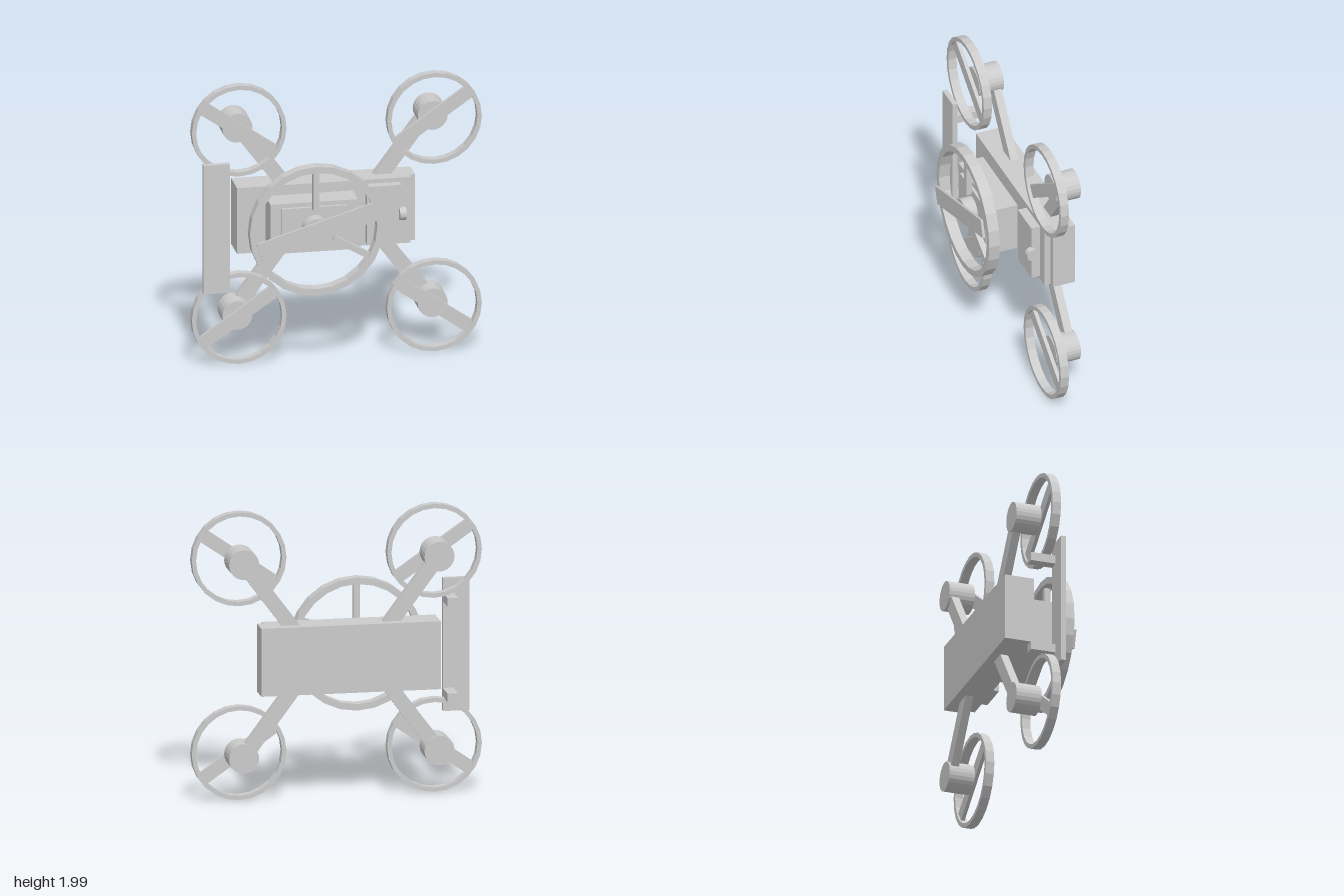
import * as THREE from 'three';

const material = new THREE.MeshStandardMaterial({ color: 0xcccccc, flatShading: true });

function add(parent, name, geometry, x = 0, y = 0, z = 0, turn = 0) {
  const mesh = new THREE.Mesh(geometry, material);
  mesh.name = name;
  mesh.position.set(x, y, z);
  mesh.rotation.z = turn;
  parent.add(mesh);
  return mesh;
}

// Box given by its limits on each axis
function block(parent, name, x0, x1, y0, y1, z0, z1) {
  return add(parent, name, new THREE.BoxGeometry(x1 - x0, y1 - y0, z1 - z0),
    (x0 + x1) / 2, (y0 + y1) / 2, (z0 + z1) / 2);
}

// Cylinder along z between two depths
function disc(parent, name, radius, x, y, z0, z1) {
  const geometry = new THREE.CylinderGeometry(radius, radius, z1 - z0, 24).rotateX(Math.PI / 2);
  return add(parent, name, geometry, x, y, (z0 + z1) / 2);
}

// Flat hoop facing z
function hoop(parent, name, outer, inner, x, y, z0, z1) {
  const circle = (radius) => Array.from({ length: 24 }, (_, i) => {
    const a = (i / 24) * Math.PI * 2;
    return new THREE.Vector2(Math.cos(a) * radius, Math.sin(a) * radius);
  });
  const shape = new THREE.Shape(circle(outer));
  shape.holes.push(new THREE.Path(circle(inner).reverse()));
  const geometry = new THREE.ExtrudeGeometry(shape, { depth: z1 - z0, bevelEnabled: false });
  return add(parent, name, geometry, x, y, z0);
}

// Arm, motor, guard ring and blade at one corner
function createRotor(sx, sy) {
  const rotor = new THREE.Group();
  rotor.name = 'rotor';
  const x = sx * 0.67, y = 1.005 + sy * 0.67;
  const armAngle = 0.932, armLength = 0.7;
  add(rotor, 'arm', new THREE.BoxGeometry(armLength, 0.1, 0.055),
    x - sx * Math.cos(armAngle) * armLength / 2,
    y - sy * Math.sin(armAngle) * armLength / 2,
    -0.183, sx * sy * armAngle);
  disc(rotor, 'motor', 0.103, x, y, -0.225, -0.045);
  hoop(rotor, 'rotorGuard', 0.325, 0.295, x, y, -0.045, 0.015);
  add(rotor, 'rotorBlade', new THREE.BoxGeometry(0.6, 0.092, 0.025), x, y, -0.02, sx * sy * 0.607);
  return rotor;
}

export function createModel() {
  const model = new THREE.Group();
  model.name = 'drone';

  // Body
  block(model, 'bodyBack', -0.67, 0.56, 0.77, 1.24, -0.27, -0.11);
  block(model, 'bodyFront', -0.67, 0.52, 0.77, 1.24, -0.11, -0.063);
  block(model, 'sidePanel', 0.21, 0.445, 0.8, 1.21, -0.063, 0);
  const knob = new THREE.CylinderGeometry(0.045, 0.045, 0.045, 24).rotateZ(Math.PI / 2);
  add(model, 'knob', knob, 0.453, 1.005, -0.003);

  // Corner rotors
  for (const sx of [-1, 1]) for (const sy of [-1, 1]) model.add(createRotor(sx, sy));

  // Main fan with its stepped housing
  const fan = new THREE.Group();
  fan.name = 'mainFan';
  model.add(fan);
  const cx = -0.18, cy = 1.005;
  block(fan, 'fanHousing', -0.48, 0.12, 0.825, 1.18, -0.035, 0.143);
  block(fan, 'fanHousingStep', -0.405, 0.042, 0.86, 1.15, 0.143, 0.165);
  hoop(fan, 'fanRing', 0.46, 0.415, cx, cy, 0.16, 0.238);
  disc(fan, 'fanHub', 0.09, cx, cy, 0.165, 0.25);
  for (const degrees of [90, 210, 330]) {
    const a = THREE.MathUtils.degToRad(degrees);
    add(fan, 'fanSpoke', new THREE.BoxGeometry(0.285, 0.042, 0.04),
      cx + Math.cos(a) * 0.282, cy + Math.sin(a) * 0.282, 0.2, a);
  }
  add(fan, 'fanBlade', new THREE.BoxGeometry(0.83, 0.13, 0.018), cx, cy, 0.258, 0.297);

  // Upright plate on two brackets
  block(model, 'sidePlate', -0.925, -0.745, 0.545, 1.465, 0.04, 0.075);
  for (const y of [0.675, 1.335]) {
    block(model, 'plateBracket', -0.815, -0.742, y - 0.03, y + 0.03, -0.135, 0.04);
  }

  return model;
}
